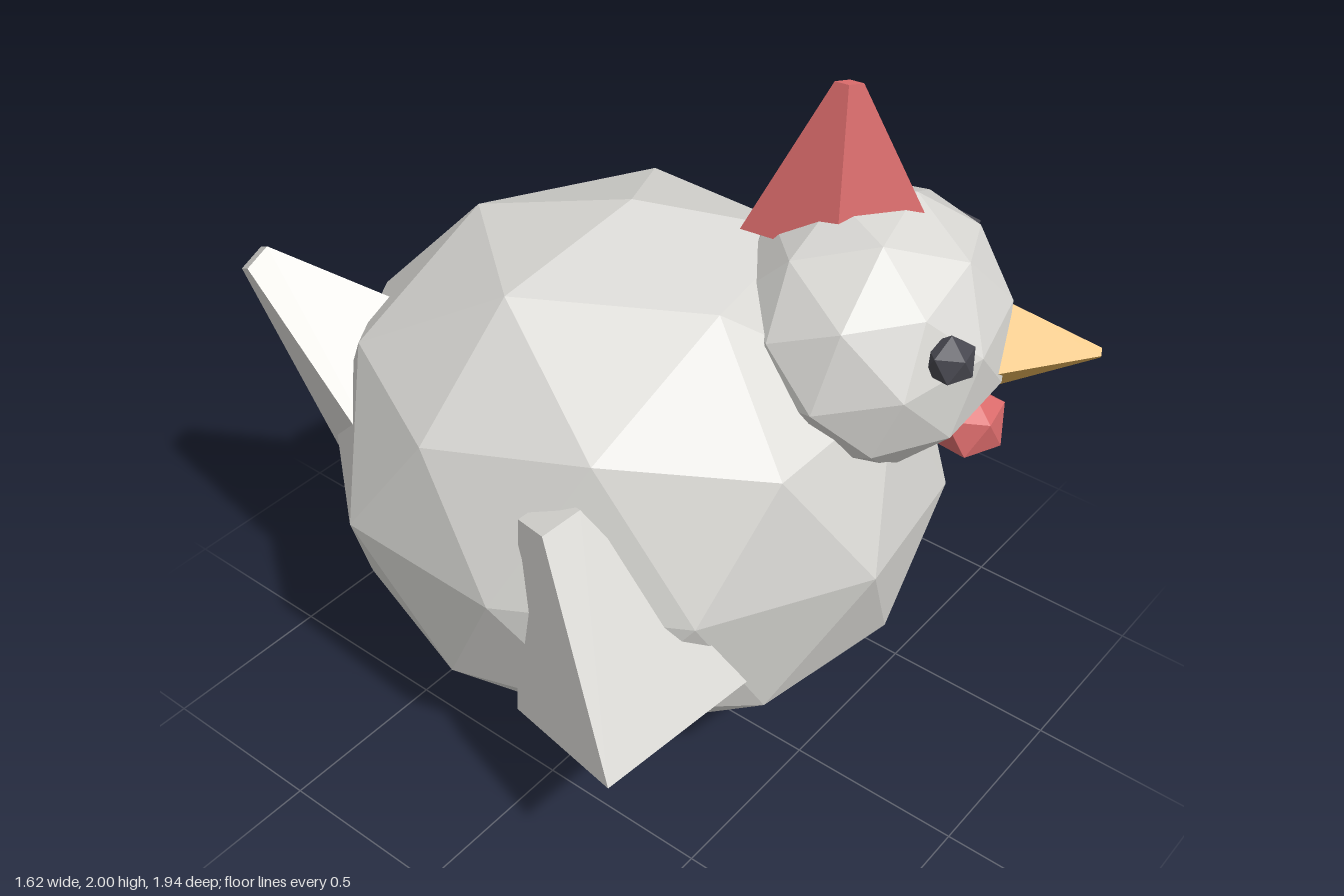
import * as THREE from 'three';

const material = (name, color) => {
  const m = new THREE.MeshStandardMaterial({ color, flatShading: true });
  m.name = name;
  return m;
};

export function createModel() {
  const white = material('featherWhite', 0xd9d8d4);
  const yellow = material('beakYellow', 0xe0b058);
  const red = material('combRed', 0xda6b6b);
  const dark = material('eyeDark', 0x47474f);

  const model = new THREE.Group();
  model.name = 'hen';
  // The whole bird is turned 30 degrees; parts below use its own axes
  const bird = new THREE.Group();
  bird.name = 'bird';
  bird.position.set(-0.05, 0, -0.06);
  bird.rotation.y = Math.PI / 6;
  model.add(bird);

  const add = (name, geometry, mat, x, y, z, pitch = 0) => {
    const mesh = new THREE.Mesh(geometry, mat);
    mesh.name = name;
    mesh.position.set(x, y, z);
    mesh.rotation.x = THREE.MathUtils.degToRad(pitch);
    bird.add(mesh);
    return mesh;
  };
  // Faceted ball with a vertex at its top and bottom
  const ball = (rx, ry, rz, detail) =>
    new THREE.IcosahedronGeometry(1, detail)
      .rotateZ(-Math.atan(2 / (1 + Math.sqrt(5))))
      .scale(rx, ry, rz);
  // Four-sided tapered peg with its corners on the axes
  const peg = (top, bottom, height) => new THREE.CylinderGeometry(top, bottom, height, 4);

  // Body and head
  add('body', ball(0.695, 0.8, 0.842, 1), white, 0, 0.84, 0);
  add('head', ball(0.4, 0.363, 0.367, 1), white, 0, 1.34, 0.6, -15.5);

  // Face
  add('beak', peg(0.015, 0.14, 0.27), yellow, 0, 1.305, 1.05, 90);
  add('wattle', ball(0.108, 0.108, 0.108, 0), red, 0, 1.055, 0.877);
  add('comb', peg(0.14, 1, 0.42).scale(0.1, 1, 0.245), red, 0, 1.79, 0.515);

  // Tail
  add('tail', peg(0.055, 0.36, 0.67), white, 0, 1.13, -0.772, -44);

  // Mirrored pairs
  for (const [side, s] of [['left', 1], ['right', -1]]) {
    add(side + 'Eye', ball(0.068, 0.068, 0.068, 0), dark, s * 0.287, 1.445, 0.805);
    add(side + 'Wing', peg(0.08, 0.313, 0.61), white, s * 0.622, 0.84, -0.085 + 0.08, -18);
    add(side + 'Leg', peg(0.07, 0.07, 0.26), yellow, s * 0.238, 0.13, 0);
  }
  return model;
}
